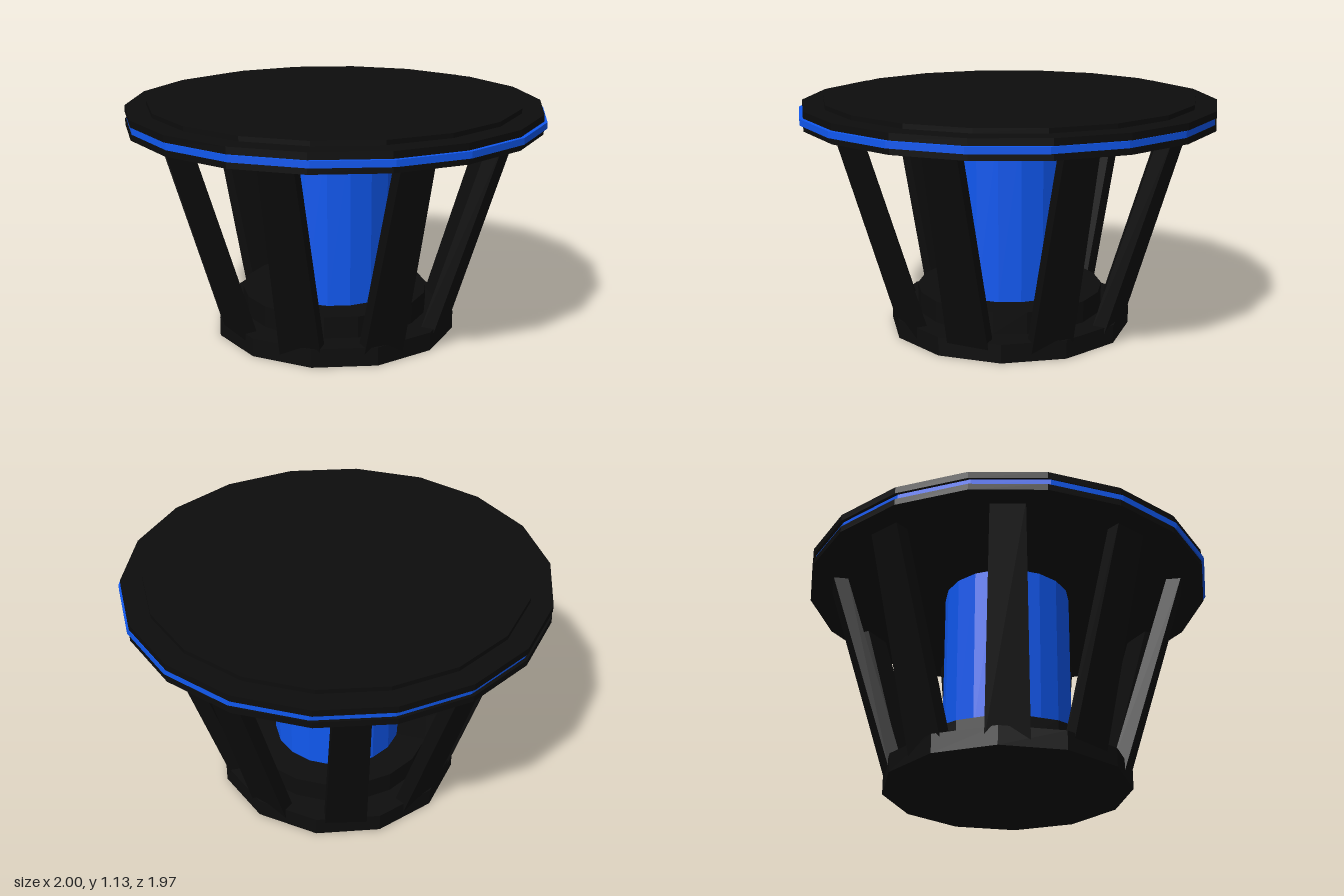
import * as THREE from 'three';

const RAD = Math.PI / 180;
const black = new THREE.MeshStandardMaterial({ color: 0x0d0d0d, flatShading: true });
const blue = new THREE.MeshStandardMaterial({ color: 0x1058f0, flatShading: true });

// Flat-sided disc between two heights, first corner turned from +z
function disc(name, material, radius, y0, y1, sides = 18, turn = 10) {
  const geometry = new THREE.CylinderGeometry(radius, radius, y1 - y0, sides, 1, false, turn * RAD);
  geometry.translate(0, (y0 + y1) / 2, 0);
  const mesh = new THREE.Mesh(geometry, material);
  mesh.name = name;
  return mesh;
}

// Leaning strut: narrows and moves outward as it rises
function strutGeometry() {
  const y0 = 0.03, y1 = 1.03;
  const geometry = new THREE.BoxGeometry(1, 1, 1);
  const p = geometry.attributes.position;
  for (let i = 0; i < p.count; i++) {
    const t = p.getY(i) + 0.5;
    const outer = THREE.MathUtils.lerp(0.56, 0.875, t);
    p.setXYZ(
      i,
      p.getX(i) * THREE.MathUtils.lerp(0.2, 0.16, t),
      THREE.MathUtils.lerp(y0, y1, t),
      p.getZ(i) > 0 ? outer : outer - 0.07
    );
  }
  geometry.computeVertexNormals();
  return geometry;
}

export function createModel() {
  const model = new THREE.Group();
  model.name = 'pedestalTable';

  // Main body sits very slightly off the trim ring's centre
  const body = new THREE.Group();
  body.name = 'body';
  body.position.set(-0.008, 0, -0.004);
  model.add(body);

  // Base, step and centre column
  body.add(
    disc('base', black, 0.59, 0, 0.09, 12, 6),
    disc('baseStep', black, 0.455, 0.09, 0.195),
    disc('column', blue, 0.31, 0.195, 1.03)
  );

  // Nine struts around the column
  const struts = new THREE.Group();
  struts.name = 'struts';
  const geometry = strutGeometry();
  for (let i = 0; i < 9; i++) {
    const strut = new THREE.Mesh(geometry, black);
    strut.name = 'strut';
    strut.rotation.y = i * 40 * RAD;
    struts.add(strut);
  }
  body.add(struts);

  // Layered top with a blue trim ring
  body.add(
    disc('lowerPlate', black, 0.992, 1.02, 1.05),
    disc('upperPlate', black, 0.992, 1.08, 1.112),
    disc('topCap', black, 0.89, 1.112, 1.134)
  );
  const ring = disc('trimRing', blue, 0.994, 1.05, 1.08);
  ring.position.set(0.006, 0, 0.006);
  model.add(ring);

  return model;
}
